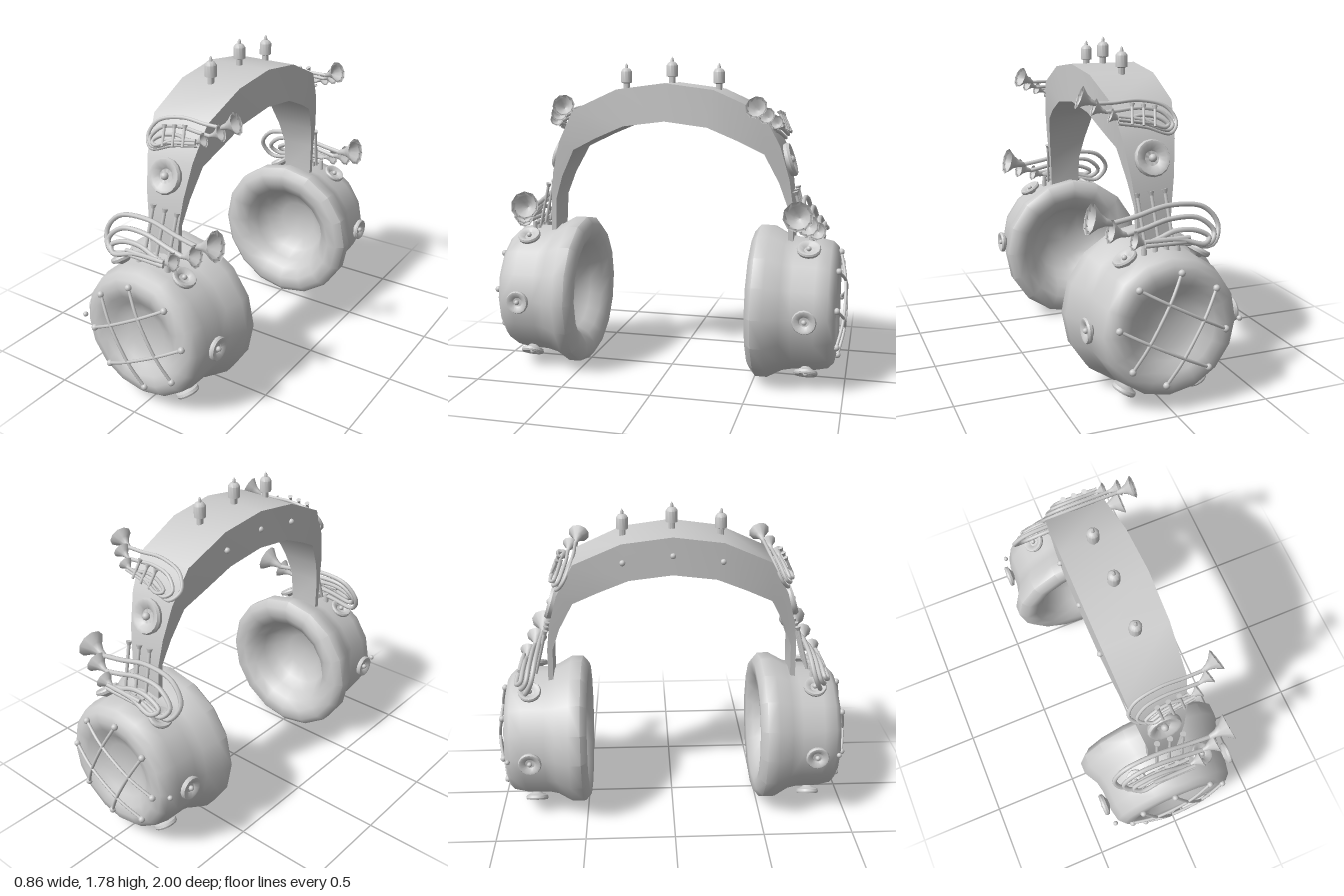
import * as THREE from 'three';
import { toCreasedNormals } from 'three/addons/utils/BufferGeometryUtils.js';

const grey = new THREE.MeshStandardMaterial({ color: 0xcccccc, side: THREE.DoubleSide });
const UP = new THREE.Vector3(0, 1, 0);
const v3 = (x, y, z = 0) => new THREE.Vector3(x, y, z);

function mesh(name, geometry, parent, x = 0, y = 0, z = 0) {
  const m = new THREE.Mesh(geometry, grey);
  m.name = name;
  m.position.set(x, y, z);
  parent.add(m);
  return m;
}
const lathe = (pts, n) => new THREE.LatheGeometry(pts.map(p => new THREE.Vector2(...p)), n);
const tube = (pts, r, n = 32) => new THREE.TubeGeometry(new THREE.CatmullRomCurve3(pts), n, r, 7);
const ball = r => new THREE.SphereGeometry(r, 10, 8);

// Round dished knob with a small centre stud, facing along dir
function knob(name, parent, pos, dir, r) {
  const g = new THREE.Group();
  g.name = name;
  mesh('knobRim', toCreasedNormals(lathe([[0.3, -0.5], [0.5, -0.3], [0.95, -0.12], [1, 0.1], [0.92, 0.25],
    [0.75, 0.25], [0.45, 0.05], [0.4, 0], [0, 0]].map(([a, b]) => [a * r, b * r]), 16), 0.7), g);
  mesh('knobStud', ball(r * 0.22), g, 0, r * 0.13, 0);
  g.position.copy(pos);
  g.quaternion.setFromUnitVectors(UP, dir.clone().normalize());
  parent.add(g);
}

// Three nested horns with flared bells and a row of valves, around the origin
function hornCluster(name) {
  const g = new THREE.Group();
  g.name = name;
  const horns = [
    { p: [[0.1, -0.075], [-0.1, -0.08], [-0.27, -0.105], [-0.32, -0.01], [-0.25, 0.085], [-0.06, 0.11], [0.13, 0.07], [0.25, 0.05]], z: -0.03, s: 1 },
    { p: [[0.1, -0.06], [-0.08, -0.065], [-0.24, -0.095], [-0.28, -0.04], [-0.2, 0.035], [-0.05, 0.045], [0.1, 0.01], [0.19, -0.01]], z: 0, s: 0.75 },
    { p: [[0.08, -0.05], [-0.06, -0.055], [-0.2, -0.09], [-0.235, -0.06], [-0.16, -0.02], [-0.05, -0.015], [0.03, -0.04], [0.1, -0.06]], z: 0.03, s: 0.62 },
  ];
  for (const { p, z, s } of horns) {
    const last = p.length - 1;
    mesh('hornTube', tube(p.map(([x, y], i) => v3(x, y, i < 3 ? z + 0.02 : z)), 0.013, 48), g);
    const bell = mesh('hornBell', lathe([[0, -0.01], [0.013, -0.01], [0.022, 0.035], [0.04, 0.07], [0.08, 0.115],
      [0.06, 0.1], [0.03, 0.065], [0, 0.05]].map(([a, b]) => [a * s, b * s]), 10), g, p[last][0], p[last][1], z);
    bell.quaternion.setFromUnitVectors(UP, v3(0.96, 0.27).normalize());
  }
  // cross pipes tying the loops together
  for (const y of [-0.07, -0.05])
    mesh('crossPipe', new THREE.CylinderGeometry(0.011, 0.011, 0.24, 8).rotateZ(Math.PI / 2), g, 0, y, 0.05);
  return g;
}

// Valve rods with small heads
function valves(parent, xs, height, r) {
  for (const x of xs) {
    const g = new THREE.Group();
    g.name = 'valve';
    mesh('valveRod', new THREE.CylinderGeometry(r, r, height, 8), g);
    mesh('valveHead', new THREE.CylinderGeometry(r * 1.9, r, r * 2.4, 8), g, 0, height / 2, 0);
    g.position.x = x;
    parent.add(g);
  }
}

function buildSide(name) {
  const side = new THREE.Group();
  side.name = name;
  const cup = new THREE.Group();
  cup.name = 'earCup';
  cup.position.y = 0.43;
  side.add(cup);

  // Cushion, shell and dished outer face in one profile (radius, z)
  mesh('cupShell', toCreasedNormals(lathe([[0, 0.71], [0.12, 0.7], [0.2, 0.655], [0.24, 0.585], [0.275, 0.52], [0.33, 0.485],
    [0.39, 0.48], [0.43, 0.515], [0.43, 0.58], [0.385, 0.66], [0.372, 0.72], [0.37, 0.84], [0.355, 0.91],
    [0.325, 0.94], [0.28, 0.95], [0.23, 0.937], [0.18, 0.9], [0.12, 0.875], [0, 0.87]], 16).rotateX(Math.PI / 2), 0.9), cup);

  // Knobs around the shell
  for (let i = 0; i < 6; i++) {
    const a = i * Math.PI / 3, d = v3(Math.cos(a), Math.sin(a));
    knob('cupKnob', cup, d.clone().multiplyScalar(0.393).setZ(0.795), d, 0.065);
  }
  mesh('sideStud', ball(0.014), cup, -0.375, 0, 0.92);

  // Bowed grille rods with ball ends
  for (const [x0, y0, x1, y1] of [[-0.22, 0.19, 0.04, -0.28], [-0.03, 0.29, 0.22, -0.18],
    [-0.28, -0.03, 0.19, 0.23], [-0.19, -0.22, 0.29, 0.04]]) {
    const at = (t, z) => v3(x0 + (x1 - x0) * t, y0 + (y1 - y0) * t, z);
    mesh('grilleRod', tube([at(0, 0.955), at(0.25, 0.983), at(0.5, 0.99), at(0.75, 0.983), at(1, 0.955)], 0.0085), cup);
    for (const t of [0, 1]) mesh('grilleBall', ball(0.018), cup).position.copy(at(t, 0.955));
  }

  // Lower horns, sitting on the cup
  const low = hornCluster('lowerHorns');
  low.position.set(0, 0.9, 0.795);
  low.rotation.x = -0.22;
  side.add(low);
  const pins = new THREE.Group();
  pins.name = 'lowerValves';
  valves(pins, [-0.075, 0, 0.075], 0.25, 0.009);
  pins.position.set(0.015, 0.94, 0.74);
  pins.rotation.set(-0.25, 0, -0.07);
  side.add(pins);
  for (const x of [-0.08, -0.02, 0.04, 0.1])
    mesh('hornFoot', new THREE.CylinderGeometry(0.012, 0.016, 0.06, 8), side, x, 0.81, 0.8);

  // Large knob on the band
  knob('bandKnob', side, v3(0, 1.225, 0.66), v3(0, 0.3, 0.95), 0.095);

  // Upper horns, smaller and leaning with the band
  const high = hornCluster('upperHorns');
  high.scale.setScalar(0.75);
  high.position.set(0.07, 1.44, 0.585);
  high.rotation.set(-0.45, 0, 0.16);
  const keys = new THREE.Group();
  keys.name = 'upperValves';
  valves(keys, [-0.13, -0.05, 0.03], 0.13, 0.01);
  keys.position.set(0, -0.03, 0.06);
  high.add(keys);
  side.add(high);
  return side;
}

// Arched band: rectangular sections [outer z, outer y, inner z, inner y, half width]
function bandGeometry() {
  const half = [[0.7, 0.78, 0.672, 0.78, 0.088], [0.695, 0.98, 0.665, 0.98, 0.095], [0.675, 1.13, 0.62, 1.11, 0.115],
    [0.625, 1.31, 0.54, 1.265, 0.14], [0.53, 1.49, 0.4, 1.335, 0.165], [0.27, 1.605, 0.235, 1.405, 0.18]];
  const rows = [...half, [0, 1.64, 0, 1.435, 0.185],
    ...half.slice().reverse().map(([a, b, c, d, w]) => [-a, b, -c, d, w])];
  const pos = [], idx = [];
  for (const [oz, oy, iz, iy, w] of rows) pos.push(-w, oy, oz, w, oy, oz, w, iy, iz, -w, iy, iz);
  for (let i = 0; i < rows.length - 1; i++)
    for (let j = 0; j < 4; j++) {
      const a = i * 4 + j, b = i * 4 + (j + 1) % 4;
      idx.push(a, b, b + 4, a, b + 4, a + 4);
    }
  const g = new THREE.BufferGeometry();
  g.setAttribute('position', new THREE.Float32BufferAttribute(pos, 3));
  g.setIndex(idx);
  return toCreasedNormals(g, 0.8);
}

export function createModel() {
  const model = new THREE.Group();
  model.name = 'headphones';
  mesh('headband', bandGeometry(), model);

  // Small lamps along the top, studs along one edge
  for (const z of [-0.265, 0, 0.265]) {
    const y = z ? 1.6 : 1.635;
    mesh('topLamp', toCreasedNormals(lathe([[0.018, -0.02], [0.018, 0.035], [0.032, 0.04], [0.032, 0.1], [0.022, 0.115],
      [0.01, 0.12], [0.008, 0.135], [0, 0.148]], 12), 0.7), model, 0, y, z);
    mesh('edgeStud', ball(0.016), model, -0.185, z ? 1.505 : 1.54, z);
  }

  const front = buildSide('frontSide');
  const back = buildSide('backSide');
  back.scale.z = -1;
  model.add(front, back);
  return model;
}
